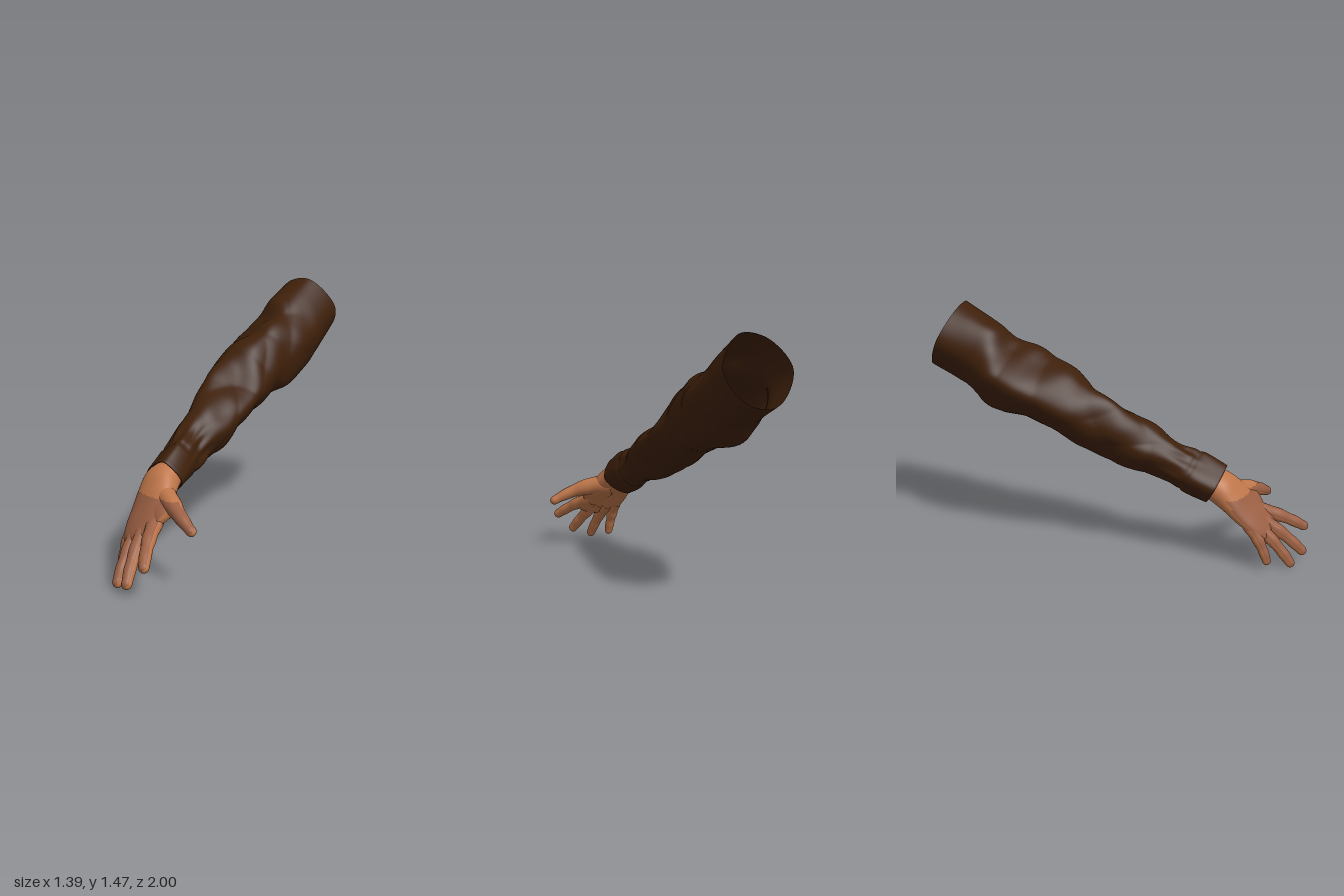
import * as THREE from 'three';

const V = (x, y, z) => new THREE.Vector3(x, y, z);
const cloth = new THREE.MeshStandardMaterial({ color: 0x3e200a, side: THREE.DoubleSide });
cloth.name = 'brown cloth';
const skin = new THREE.MeshStandardMaterial({ color: 0xbe764a });
skin.name = 'light skin';
const skinBack = new THREE.MeshStandardMaterial({ color: 0x9a5f43 });
skinBack.name = 'darker skin';

// Skin a list of closed rings; isSecond(normal, centre) puts a face in the second material group
function loft(rings, isSecond) {
  const n = rings[0].length, groups = [[], []];
  const tri = (a, b, c, ids) => {
    const t = new THREE.Triangle(a, b, c);
    const second = isSecond && isSecond(t.getNormal(V(0, 0, 0)), t.getMidpoint(V(0, 0, 0)));
    groups[second ? 1 : 0].push(...ids);
  };
  for (let j = 0; j < rings.length - 1; j++) {
    for (let i = 0; i < n; i++) {
      const k = (i + 1) % n, p = j * n, q = p + n;
      tri(rings[j][i], rings[j][k], rings[j + 1][i], [p + i, p + k, q + i]);
      tri(rings[j][k], rings[j + 1][k], rings[j + 1][i], [p + k, q + k, q + i]);
    }
  }
  const g = new THREE.BufferGeometry().setFromPoints(rings.flat());
  g.setIndex([...groups[0], ...groups[1]]);
  g.addGroup(0, groups[0].length, 0);
  g.addGroup(groups[0].length, groups[1].length, 1);
  g.computeVertexNormals();
  return g;
}

// ---- Sleeve: distance along the arm, then the reach in six directions around it
const cuffCentre = V(-0.42, 0.49, 0.43);
const axis = V(0.524, 0.446, -0.725).normalize();
const sideA = V(-0.648, 0.76, 0).normalize();
const sideB = axis.clone().cross(sideA);
const angles = [0, 49.6, 121.7, 180, 229.6, 301.7].map(THREE.MathUtils.degToRad);
const sections = [
  [0.00, 0.094, 0.124, 0.118, 0.102, 0.125, 0.122],
  [0.14, 0.097, 0.126, 0.102, 0.115, 0.138, 0.134],
  [0.30, 0.115, 0.098, 0.092, 0.130, 0.130, 0.133],
  [0.45, 0.137, 0.118, 0.142, 0.150, 0.168, 0.153],
  [0.60, 0.160, 0.118, 0.160, 0.145, 0.187, 0.168],
  [0.72, 0.192, 0.110, 0.165, 0.153, 0.200, 0.182],
  [0.86, 0.190, 0.120, 0.166, 0.165, 0.203, 0.225],
  [1.00, 0.198, 0.172, 0.160, 0.172, 0.192, 0.246],
  [1.13, 0.185, 0.185, 0.160, 0.222, 0.204, 0.262],
  [1.28, 0.165, 0.186, 0.195, 0.243, 0.250, 0.275],
  [1.41, 0.153, 0.170, 0.200, 0.243, 0.256, 0.258],
  [1.54, 0.204, 0.188, 0.200, 0.236, 0.216, 0.203],
  [1.78, 0.198, 0.208, 0.206, 0.212, 0.210, 0.210],
];

// Diagonal cloth folds: sharp valleys between soft ridges
function fold(s, a) {
  const ridge = (x) => Math.abs(Math.sin(x)) - 0.64;
  const fade = THREE.MathUtils.smoothstep(s, 0.15, 0.26) * (1 - THREE.MathUtils.smoothstep(s, 1.45, 1.7));
  const w = 0.007 * ridge(s * 8 + a + 0.8 * Math.sin(a * 2 + s * 3))
    + 0.008 * ridge(s * 11 - a + 0.9 * Math.sin(a + s * 5))
    + 0.003 * Math.sin(s * 25 + 3 * a);
  const gathers = 0.005 * Math.sin(a * 9 + s * 6) * Math.exp(-(((s - 0.26) / 0.09) ** 2));
  return w * fade + gathers;
}

function buildSleeve() {
  const rails = angles.map((a, k) => new THREE.CatmullRomCurve3(sections.map((row) =>
    cuffCentre.clone().addScaledVector(axis, row[0])
      .addScaledVector(sideA, Math.cos(a) * row[k + 1])
      .addScaledVector(sideB, Math.sin(a) * row[k + 1]))));
  const steps = 130, around = 72, rings = [];
  for (let j = 0; j <= steps; j++) {
    const loop = new THREE.CatmullRomCurve3(rails.map((r) => r.getPoint(j / steps)), true);
    const ring = [];
    for (let i = 0; i < around; i++) {
      const p = loop.getPoint(i / around);
      const d = p.clone().sub(cuffCentre), s = d.dot(axis);
      d.addScaledVector(axis, -s);
      const a = Math.atan2(d.dot(sideB), d.dot(sideA));
      const seam = -0.007 * Math.exp(-(((s - 0.17) / 0.014) ** 2));
      ring.push(p.addScaledVector(d.normalize(), fold(s, a) + seam));
    }
    rings.push(ring);
  }
  // turned-in edge of the cuff
  const turned = (scale, depth) => rings[0].map((p) =>
    p.clone().sub(cuffCentre).multiplyScalar(scale).add(cuffCentre).addScaledVector(axis, depth));
  const edge = [turned(0.86, 0.05), turned(0.93, -0.004), turned(0.98, -0.006)];
  return loft([...edge, ...rings]);
}

// ---- Hand
const forward = V(-0.34, -0.62, 0.71).normalize();
const across = V(0.73, 0.30, 0.61).normalize();
const knuckleLine = V(0.65, 0.17, 0.74).normalize();
const webLine = V(0.77, 0.63, -0.14).normalize();
const backOfHand = forward.clone().cross(across).normalize();
const isBack = (n, c) => n.dot(backOfHand) > 0.35 && c.y < 0.43;

// Flattened body from rows of centre, half width, half thickness; its width turns from u0 to u1
function buildSlab(rows, u0, u1, hollowDepth) {
  const path = new THREE.CatmullRomCurve3(rows.map((r) => r[0]));
  const size = new THREE.CatmullRomCurve3(rows.map((r) => V(r[1], r[2], 0)));
  const rings = [];
  for (let j = 0; j <= 60; j++) {
    const t = j / 60, c = path.getPoint(t), w = size.getPoint(t);
    const u = u0.clone().lerp(u1, t).normalize();
    const ring = [];
    for (let i = 0; i < 40; i++) {
      const a = (i / 40) * Math.PI * 2, cs = Math.cos(a), sn = Math.sin(a);
      const hollow = sn < 0 ? 1 - hollowDepth * Math.exp(-((cs / 0.45) ** 2)) * Math.sin(Math.PI * t) : 1;
      ring.push(c.clone().addScaledVector(u, w.x * Math.sign(cs) * Math.abs(cs) ** 0.9)
        .addScaledVector(backOfHand, w.y * hollow * Math.sign(sn) * Math.abs(sn) ** 0.9));
    }
    rings.push(ring);
  }
  return loft(rings, isBack);
}

const palmRows = [
  [V(-0.365, 0.54, 0.345), 0.090, 0.075],
  [V(-0.432, 0.480, 0.443), 0.108, 0.086],
  [V(-0.465, 0.418, 0.515), 0.125, 0.074],
  [V(-0.498, 0.346, 0.582), 0.134, 0.060],
  [V(-0.532, 0.285, 0.640), 0.130, 0.049],
  [V(-0.556, 0.234, 0.692), 0.120, 0.038],
  [V(-0.567, 0.208, 0.718), 0.100, 0.022],
  [V(-0.570, 0.202, 0.723), 0.001, 0.001],
];
const webRows = [
  [V(-0.450, 0.410, 0.520), 0.070, 0.060],
  [V(-0.434, 0.378, 0.615), 0.074, 0.054],
  [V(-0.422, 0.355, 0.690), 0.066, 0.038],
  [V(-0.420, 0.346, 0.716), 0.054, 0.022],
  [V(-0.420, 0.343, 0.722), 0.001, 0.001],
];

// Tapered finger with a round tip and slight swellings at the joints
function buildFinger(points, r0, r1) {
  const curve = new THREE.CatmullRomCurve3(points), len = curve.getLength(), rings = [];
  for (let j = 0; j <= 30; j++) {
    const t = Math.sin((j / 30) * Math.PI / 2), c = curve.getPointAt(t), d = curve.getTangentAt(t);
    const v = d.clone().cross(across).normalize(), u = v.clone().cross(d);
    let r = THREE.MathUtils.lerp(r0, r1, Math.min(1, t * 1.15));
    r += 0.002 * Math.cos((t - 0.42) * Math.PI * 6) * Math.sin(Math.PI * t);
    const left = (1 - t) * len / (r * 1.2);
    if (left < 1) r *= Math.sqrt(Math.max(0.0001, 1 - (1 - left) ** 2));
    rings.push(Array.from({ length: 18 }, (_, i) => {
      const a = (i / 18) * Math.PI * 2;
      return c.clone().addScaledVector(u, Math.cos(a) * r).addScaledVector(v, Math.sin(a) * r);
    }));
  }
  return loft(rings, isBack);
}

export function createModel() {
  const model = new THREE.Group();
  model.name = 'sleevedArm';
  const add = (name, geometry, material, parent = model) => {
    const m = new THREE.Mesh(geometry, material);
    m.name = name;
    parent.add(m);
  };
  add('sleeve', buildSleeve(), [cloth, cloth]);

  const hand = new THREE.Group();
  hand.name = 'hand';
  model.add(hand);
  const skins = [skin, skinBack];
  add('palm', buildSlab(palmRows, across, knuckleLine, 0.28), skins, hand);
  add('thumbWeb', buildSlab(webRows, webLine, webLine, 0), skins, hand);
  // name, base, tip, base radius, tip radius
  const fingers = [
    ['indexFinger', V(-0.468, 0.312, 0.67), V(-0.527, 0.152, 0.997), 0.045, 0.030],
    ['middleFinger', V(-0.518, 0.285, 0.65), V(-0.622, 0.036, 0.932), 0.044, 0.030],
    ['ringFinger', V(-0.553, 0.27, 0.61), V(-0.678, 0.001, 0.817), 0.042, 0.029],
    ['littleFinger', V(-0.580, 0.275, 0.563), V(-0.658, 0.033, 0.662), 0.040, 0.026],
  ];
  for (const [name, base, tip, r0, r1] of fingers) {
    const bend = (t, h) => base.clone().lerp(tip, t).addScaledVector(backOfHand, h);
    add(name, buildFinger([base, bend(0.35, 0.016), bend(0.7, 0.014), tip], r0, r1), skins, hand);
  }
  add('thumb', buildFinger([V(-0.435, 0.43, 0.51), V(-0.39, 0.41, 0.64),
    V(-0.338, 0.367, 0.762), V(-0.268, 0.302, 0.872)], 0.068, 0.030), skins, hand);
  return model;
}
